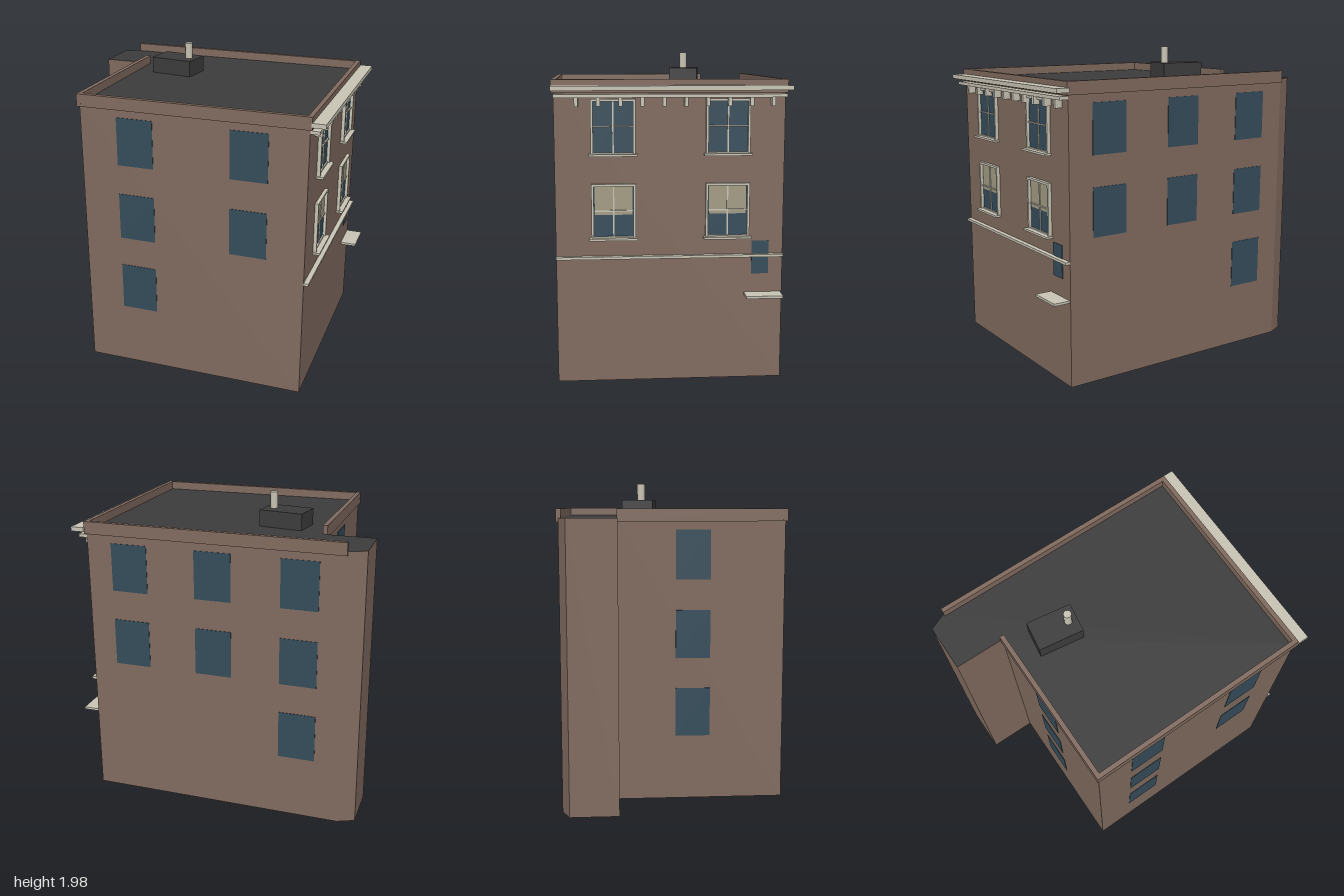
import * as THREE from 'three';

const mat = (name, color, extra = {}) => {
  const m = new THREE.MeshStandardMaterial({ color, ...extra });
  m.name = name;
  return m;
};

export function createModel() {
  const brick = mat('brick', 0x806a5e);
  const roof = mat('roof', 0x3c3c3c);
  const glass = mat('glass', 0x344c5a);
  const trim = mat('trim', 0xc8c4b4);
  const blind = mat('blind', 0xa29b84);

  const model = new THREE.Group();
  model.name = 'building';

  // Footprint corners as [x, z]
  const A = [-0.5, 0.79], B = [0.91, 0.57], C = [0.72, -0.775], D = [-0.9, -0.545];
  const E = [-1, -0.485], F = [-0.957, -0.19], G = [-0.645, -0.235];
  const wallTop = 1.768;

  // Main body: dark caps, brick sides
  const plan = new THREE.Shape([A, B, C, D, E, F, G].map(([x, z]) => new THREE.Vector2(x, -z)));
  const bodyGeo = new THREE.ExtrudeGeometry(plan, { depth: wallTop, bevelEnabled: false });
  bodyGeo.rotateX(-Math.PI / 2);
  const body = new THREE.Mesh(bodyGeo, [roof, brick]);
  body.name = 'body';
  model.add(body);

  // A group whose x runs along the wall from p to q, with z pointing outward
  const wall = (name, p, q) => {
    const g = new THREE.Group();
    const dx = q[0] - p[0], dz = q[1] - p[1];
    g.name = name;
    g.position.set(p[0], 0, p[1]);
    g.rotation.y = Math.atan2(-dz, dx);
    g.userData.length = Math.hypot(dx, dz);
    model.add(g);
    return g;
  };

  // Box given by its limits along the wall, in height and outward
  const box = (parent, name, material, u0, u1, y0, y1, z0, z1) => {
    const m = new THREE.Mesh(new THREE.BoxGeometry(u1 - u0, y1 - y0, z1 - z0), material);
    m.position.set((u0 + u1) / 2, (y0 + y1) / 2, (z0 + z1) / 2);
    m.name = name;
    parent.add(m);
    return m;
  };

  const front = wall('frontWall', A, B);
  const right = wall('streetWall', B, C);
  const back = wall('backWall', C, D);
  const side = wall('sideWall', G, A);

  // Parapets
  const t = 0.013;
  for (const [w, a, b] of [[front, t, t], [right, t, t], [back, t, 0], [side, 0, t]]) {
    box(w, 'parapet', brick, -a, w.userData.length + b, 1.744, 1.822, -0.016, t);
  }

  // Plain windows: [wall, start along wall, width, number of floors from the top]
  const floors = [[1.39, 1.695], [0.9, 1.2], [0.405, 0.71]];
  const columns = [
    [front, 0.238, 0.233, 3], [front, 0.957, 0.233, 2],
    [back, 0.16, 0.234, 2], [back, 0.703, 0.234, 2], [back, 1.245, 0.234, 3],
    [side, 0.36, 0.215, 3],
  ];
  for (const [w, u, width, count] of columns) {
    for (const [y0, y1] of floors.slice(0, count)) {
      box(w, 'window', glass, u, u + width, y0, y1, -0.003, 0.003);
    }
  }

  // Framed sash windows on the street wall
  const along = (z) => (B[1] - z) / 0.99;
  const sashWindow = (zLeft, y0, y1, hasBlind) => {
    const g = new THREE.Group();
    g.name = 'sashWindow';
    right.add(g);
    const u0 = along(zLeft), u1 = u0 + 0.262, f = 0.014;
    const mid = (u0 + u1) / 2, yMid = (y0 + y1) / 2;
    box(g, 'pane', glass, u0 + f, u1 - f, y0, y1 - f, -0.003, 0.003);
    if (hasBlind) box(g, 'windowBlind', blind, u0 + f + 0.006, u1 - f - 0.006, y0 + 0.137, y1 - f, 0, 0.005);
    for (const u of [u0, u1 - f]) box(g, 'jamb', trim, u, u + f, y0, y1, 0, 0.022);
    box(g, 'head', trim, u0, u1, y1 - f, y1, 0, 0.022);
    box(g, 'mullion', trim, mid - 0.004, mid + 0.004, y0, y1 - f, 0, 0.01);
    box(g, 'meetingRail', trim, u0 + f, u1 - f, yMid - 0.004, yMid + 0.004, 0, 0.012);
    box(g, 'bottomRail', trim, u0 + f, u1 - f, y0, y0 + 0.008, 0, 0.012);
    box(g, 'sill', trim, u0 - 0.012, u1 + 0.01, y0 - 0.013, y0, 0, 0.045);
  };
  for (const z of [0.36, -0.31]) {
    sashWindow(z, 1.39, 1.71, false);
    sashWindow(z, 0.89, 1.212, true);
  }

  // Small window and canopy near the back corner
  box(right, 'smallWindow', glass, along(-0.588), along(-0.69), 0.655, 0.858, -0.003, 0.004);
  box(right, 'canopy', trim, along(-0.545), along(-0.765), 0.525, 0.54, 0, 0.105);

  // String course, cornice and brackets
  const len = right.userData.length;
  box(right, 'stringCourse', trim, 0, len, 0.762, 0.778, 0, 0.03);
  box(right, 'lowerCornice', trim, 0, len, 1.718, 1.738, 0, 0.056);
  box(right, 'upperCornice', trim, -0.013, len + 0.03, 1.76, 1.787, 0.008, 0.092);
  for (let i = 0; i < 10; i++) {
    const u = along(0.44 - i * 0.1265);
    box(right, 'bracket', trim, u - 0.011, u + 0.011, 1.667, 1.718, 0, 0.045);
  }

  // Rooftop box and vent pipe
  box(model, 'roofBox', roof, -0.483, -0.197, wallTop - 0.01, 1.872, -0.222, -0.032);
  const pipe = new THREE.Mesh(new THREE.CylinderGeometry(0.025, 0.025, 0.11, 10), trim);
  pipe.position.set(-0.254, 1.92, -0.125);
  pipe.name = 'ventPipe';
  model.add(pipe);

  return model;
}
